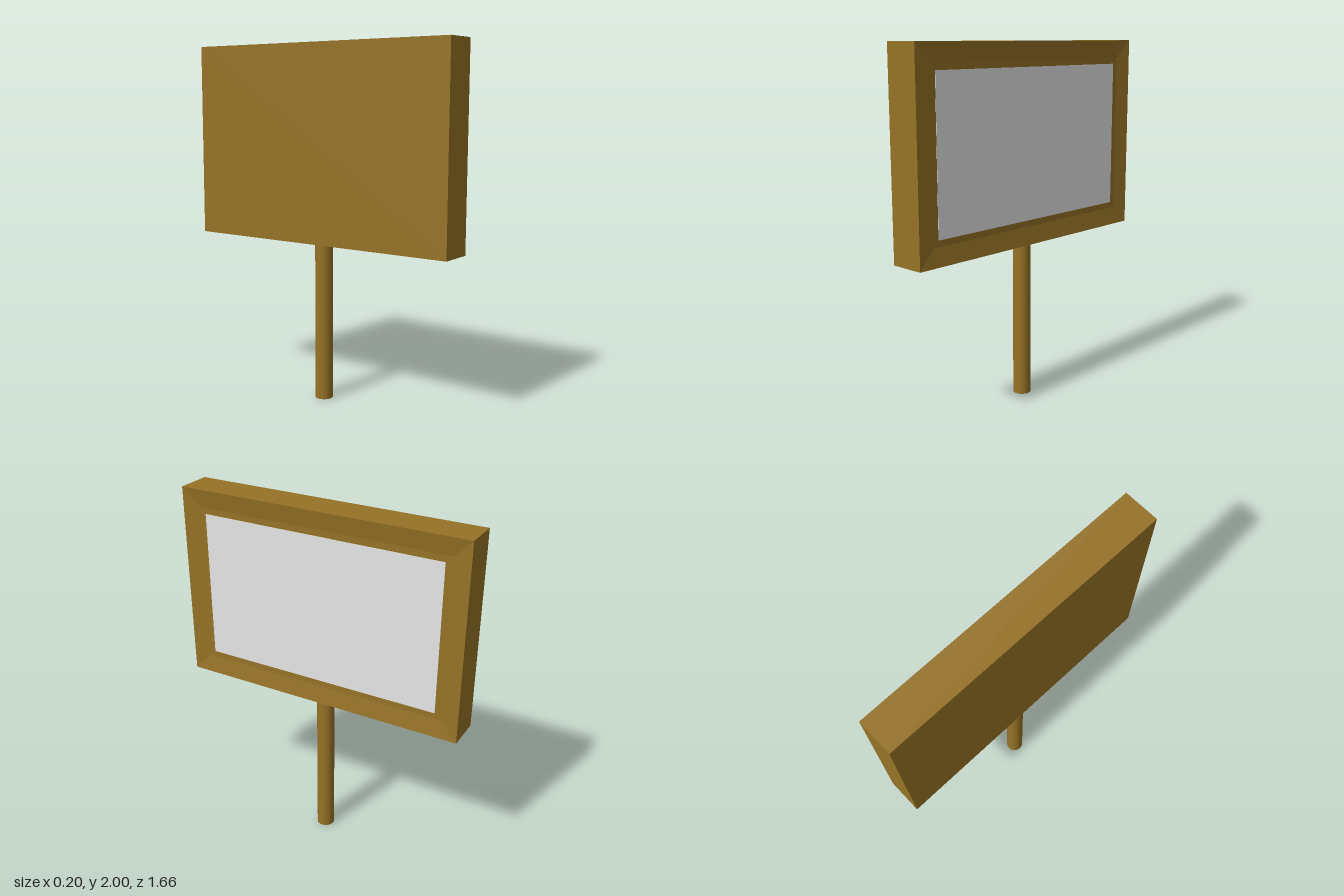
import * as THREE from 'three';

const wood = new THREE.MeshStandardMaterial({ color: 0x967226 });
wood.name = 'wood';
const white = new THREE.MeshStandardMaterial({ color: 0xe8e8e8 });
white.name = 'panel white';

const CENTRE_Y = 1.45;
const FLOOR_X = 0.085;

// Joins rectangular rings [x, halfHeight, halfDepth], ordered from back to face, with flat sides
function ringSolid(rings) {
  const signs = [[1, 1], [-1, 1], [-1, -1], [1, -1]];
  const corner = ([x, h, d], i) => [x, signs[i % 4][0] * h, signs[i % 4][1] * d];
  const points = [];
  for (let r = 0; r < rings.length - 1; r++) {
    for (let i = 0; i < 4; i++) {
      const a = corner(rings[r], i), b = corner(rings[r], i + 1);
      const c = corner(rings[r + 1], i + 1), d = corner(rings[r + 1], i);
      points.push(...a, ...b, ...c, ...a, ...c, ...d);
    }
  }
  const geometry = new THREE.BufferGeometry();
  geometry.setAttribute('position', new THREE.Float32BufferAttribute(points, 3));
  geometry.computeVertexNormals();
  return geometry;
}

export function createModel() {
  const model = new THREE.Group();
  model.name = 'signpost';

  const add = (name, geometry, material, x, y) => {
    const mesh = new THREE.Mesh(geometry, material);
    mesh.name = name;
    mesh.position.set(x, y, 0);
    model.add(mesh);
  };

  // Round post
  add('post', new THREE.CylinderGeometry(0.05, 0.05, 0.9, 32), wood, 0, 0.45);

  // Board with a plain back and a shallow dished rim on the face
  add('board', ringSolid([
    [-0.1, 0, 0],
    [-0.1, 0.55, 0.83],
    [0.1, 0.55, 0.83],
    [FLOOR_X, 0.45, 0.73],
    [FLOOR_X, 0, 0],
  ]), wood, 0, CENTRE_Y);

  // Blank panel set into the face
  add('panel', new THREE.BoxGeometry(0.004, 0.83, 1.39), white, FLOOR_X, CENTRE_Y);

  return model;
}
